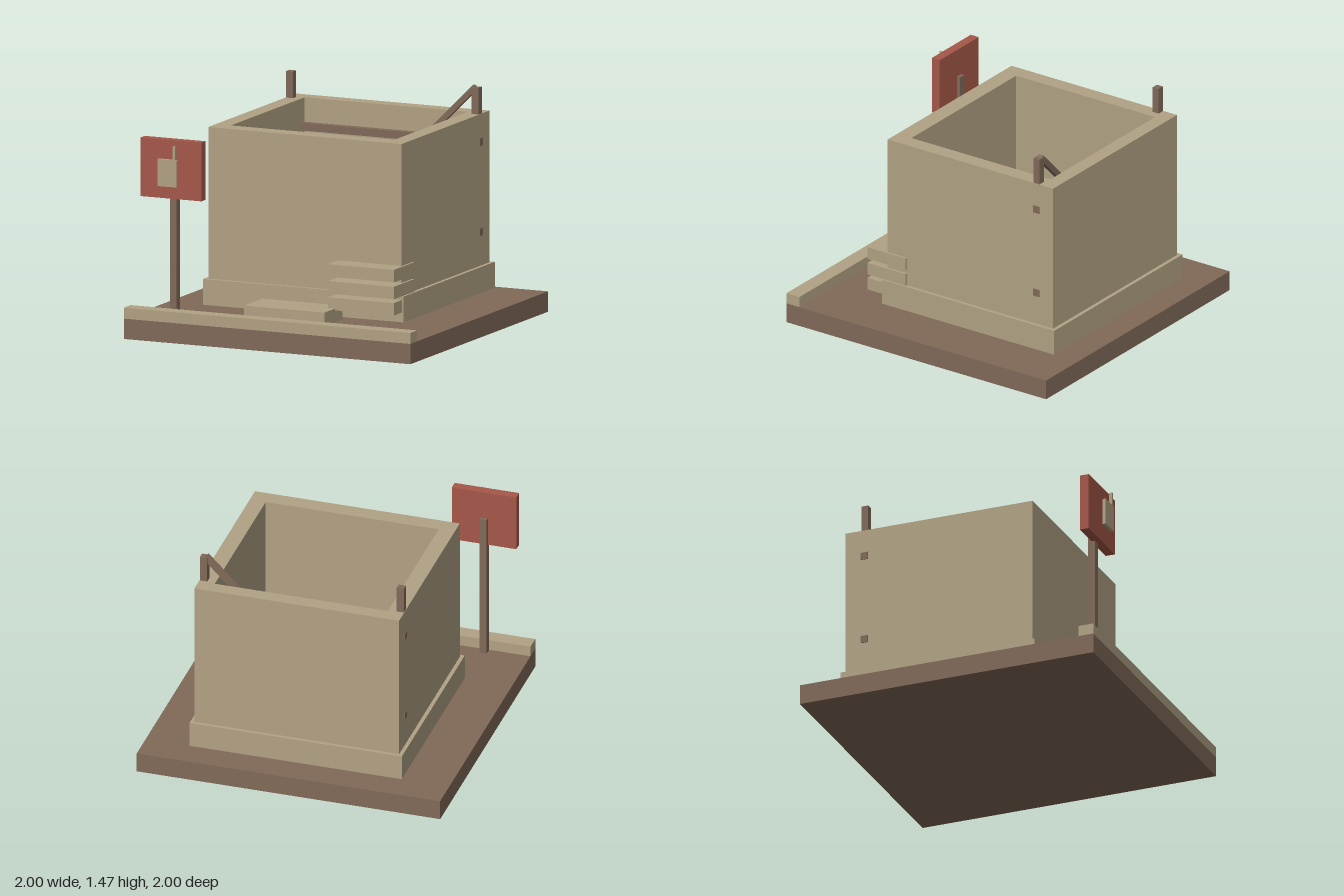
import * as THREE from 'three';

export function createModel() {
  const model = new THREE.Group();
  model.name = 'stoneHut';

  const flat = (name, color) => {
    const m = new THREE.MeshStandardMaterial({ color });
    m.name = name;
    return m;
  };
  const stone = flat('sandStone', 0xb1a284);
  const wood = flat('brownWood', 0x816a59);
  const red = flat('signRed', 0xa55848);

  // Box given by its extents on each axis
  const box = (name, mat, [x0, x1], [y0, y1], [z0, z1], parent = model) => {
    const mesh = new THREE.Mesh(new THREE.BoxGeometry(x1 - x0, y1 - y0, z1 - z0), mat);
    mesh.position.set((x0 + x1) / 2, (y0 + y1) / 2, (z0 + z1) / 2);
    mesh.name = name;
    parent.add(mesh);
    return mesh;
  };

  // Ground slab and kerb along the front edge
  box('base', wood, [-1, 1], [0, 0.13], [-1, 1]);
  box('kerb', stone, [-1, 1], [0.13, 0.2], [0.9, 1]);

  // Plinth and open-topped walls
  box('plinth', stone, [-0.7, 0.7], [0.155, 0.32], [-0.85, 0.475]);
  const ring = new THREE.Shape();
  const rect = (path, x, z0, z1) =>
    path.moveTo(-x, -z0).lineTo(-x, -z1).lineTo(x, -z1).lineTo(x, -z0).closePath();
  rect(ring, 0.675, -0.825, 0.45);
  const opening = new THREE.Path();
  rect(opening, 0.57, -0.73, 0.34);
  ring.holes.push(opening);
  const wallGeometry = new THREE.ExtrudeGeometry(ring, { depth: 0.97, bevelEnabled: false });
  wallGeometry.rotateX(-Math.PI / 2);
  const walls = new THREE.Mesh(wallGeometry, stone);
  walls.position.y = 0.32;
  walls.name = 'walls';
  model.add(walls);

  // Doorstep and stacked slabs at the front corner
  box('doorstep', stone, [-0.28, 0.28], [0.14, 0.23], [0.485, 0.75]);
  const stack = new THREE.Group();
  stack.name = 'slabStack';
  model.add(stack);
  for (const y of [0.218, 0.322, 0.43]) {
    box('slab', stone, [0.23, 0.69], [y, y + 0.08], [0.3, 0.595], stack);
  }

  // Timber frame: corner posts, through beams and a diagonal brace
  const frame = new THREE.Group();
  frame.name = 'timberFrame';
  model.add(frame);
  for (const s of [-1, 1]) {
    box('cornerPost', wood, [s * 0.648 - 0.024, s * 0.648 + 0.024], [0.33, 1.46], [-0.718, -0.672], frame);
  }
  for (const y of [0.535, 1.112]) {
    box('throughBeam', wood, [-0.68, 0.68], [y - 0.024, y + 0.024], [-0.72, -0.672], frame);
  }
  const brace = new THREE.Mesh(new THREE.BoxGeometry(0.49, 0.036, 0.036), wood);
  brace.position.set(0.466, 1.287, -0.697);
  brace.rotation.z = Math.PI / 4;
  brace.name = 'brace';
  frame.add(brace);

  // Sign on a post with a raised emblem
  const sign = new THREE.Group();
  sign.name = 'sign';
  model.add(sign);
  box('signPost', wood, [-0.727, -0.68], [0.13, 1.1], [0.85, 0.897], sign);
  box('signBoard', red, [-0.915, -0.49], [0.91, 1.285], [0.872, 0.933], sign);
  box('emblemBody', stone, [-0.77, -0.638], [0.995, 1.168], [0.965, 0.988], sign);
  box('emblemHandle', stone, [-0.664, -0.65], [1.168, 1.255], [0.965, 0.988], sign);

  return model;
}
